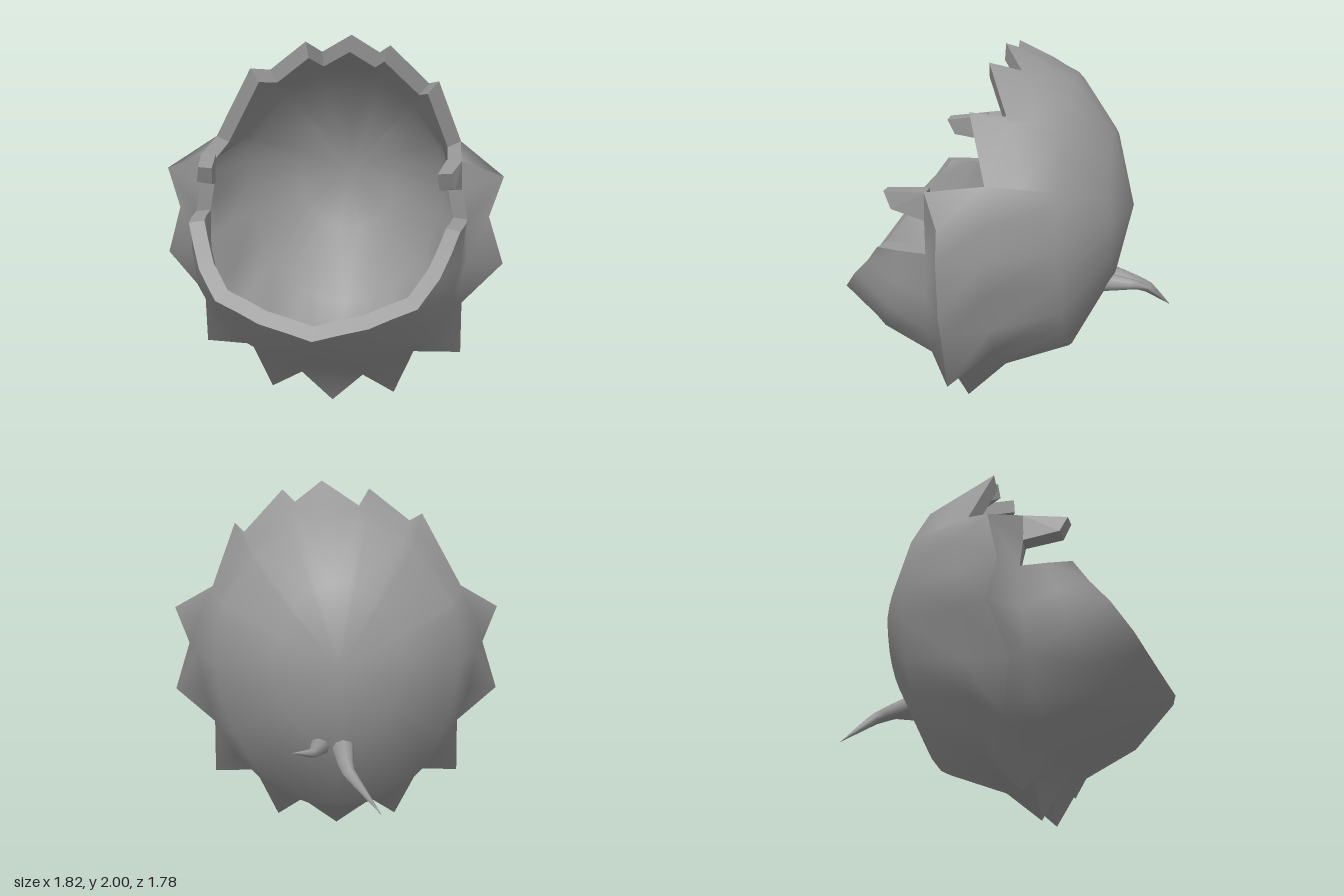
import * as THREE from 'three';
import { toCreasedNormals } from 'three/addons/utils/BufferGeometryUtils.js';
import { ConvexGeometry } from 'three/addons/geometries/ConvexGeometry.js';

const V = (p) => new THREE.Vector3(...p);
const mirror = (p) => [-p[0], p[1], p[2]];
const middle = (a, b) => a.map((v, i) => (v + b[i]) / 2);
const CY = 1.14; // height of the back pole

// Cross-section rings from the back pole forward: z, half width, height above and below
const POLE = [0, CY, -0.68];
const RINGS = [
  [-0.6, 0.32, 0.41, 0.39],
  [-0.385, 0.63, 0.69, 0.82],
  [-0.04, 0.76, 0.86, 0.96],
];
const SEAM = 4; // index of the spiked seam in every column

// Lower rim, bottom centre up to the temple: flared spike point, then the jaw points in front of it
const LOWER = [
  { seam: [0, 0.0, 0.17], jaw: [[0, 0.24, 0.32], [0, 0.38, 0.64], [0, 0.6, 0.89]] },
  { seam: [0.17, 0.16, 0.18], jaw: [[0.16, 0.26, 0.32], [0.14, 0.4, 0.64], [0.13, 0.63, 0.865]] },
  { seam: [0.34, 0.06, 0.16], jaw: [[0.32, 0.3, 0.32], [0.28, 0.43, 0.62], [0.27, 0.66, 0.84]] },
  { seam: [0.45, 0.32, 0.19], jaw: [[0.45, 0.36, 0.31], [0.42, 0.49, 0.6], [0.38, 0.705, 0.81]] },
  { seam: [0.7, 0.32, 0.18], jaw: [[0.57, 0.45, 0.3], [0.55, 0.58, 0.56], [0.5, 0.75, 0.78]] },
  { seam: [0.7, 0.61, 0.21], jaw: [[0.67, 0.62, 0.29], [0.66, 0.74, 0.5], [0.6, 0.88, 0.69]] },
  { seam: [0.91, 0.82, 0.16], jaw: [[0.72, 0.85, 0.28], [0.7, 0.92, 0.45], [0.65, 0.98, 0.6]] },
  { seam: [0.83, 1.08, 0.19], jaw: [[0.72, 1.08, 0.27], [0.71, 1.08, 0.4], [0.69, 1.08, 0.53]], step: 1 },
  { seam: [0.9, 1.29, 0.16], jaw: [[0.69, 1.24, 0.28]] },
  { seam: [0.68, 1.39, 0.28], jaw: [[0.68, 1.39, 0.28]], temple: [0.67, 1.44, -0.02] },
];

// Jagged upper rim, from the model's left temple over to the right
const UPPER = [
  [0.67, 1.44, -0.02], [0.55, 1.77, 0.08], [0.49, 1.74, -0.09], [0.29, 1.95, 0.04],
  [0.22, 1.9, -0.11], [0.08, 2.0, 0], [-0.11, 1.89, -0.22], [-0.17, 1.96, -0.02],
  [-0.38, 1.8, -0.1], [-0.46, 1.82, 0.05], [-0.67, 1.44, -0.02],
];

// Point of an elliptical ring in the direction of a rim point; the upper half leans forward
function ringPoint([z, rx, up, down], p) {
  const a = Math.atan2(p[1] - CY, p[0]);
  const c = Math.cos(a), s = Math.sin(a);
  const r = 1 / Math.hypot(c / rx, s / (s > 0 ? up : down));
  return [r * c, CY + r * s, z + 0.04 * Math.max(s, 0)];
}

const inward = (p) => [p[0] * 0.895, CY + (p[1] - CY) * 0.895, 0.1 + (p[2] - 0.1) * 0.92];

function makeColumn({ seam, jaw = [], step = 0, temple }) {
  const rings = RINGS.map((r) => ringPoint(r, seam));
  if (!jaw.length) rings[2] = middle(rings[1], seam);
  if (temple) rings[2] = temple;
  const outer = [POLE, ...rings, seam, ...jaw];
  return { outer, inner: outer.map(inward), step };
}

function makeGeometry(tris, crease) {
  const g = new THREE.BufferGeometry();
  g.setAttribute('position', new THREE.Float32BufferAttribute(tris.flat(2), 3));
  return toCreasedNormals(g, crease);
}

// Two triangles split along a-c, leaving out collapsed ones
function pushQuad(out, a, b, c, d) {
  for (const t of [[a, b, c], [a, c, d]]) {
    const n = V(t[1]).sub(V(t[0])).cross(V(t[2]).sub(V(t[0])));
    if (n.length() > 1e-7) out.push(t);
  }
}

// Smooth skin over one layer of the columns, between two levels
function skinGeometry(columns, layer, from, to) {
  const tris = [];
  columns.forEach((column, i) => {
    const a = column[layer], b = columns[(i + 1) % columns.length][layer];
    const n = Math.min(a.length - 1, b.length - 1, to);
    for (let k = from; k < n; k++) {
      const q = [a[k], b[k], b[k + 1], a[k + 1]];
      if (i < columns.length / 2) q.push(q.shift()); // mirrored diagonals
      if (layer === 'inner') q.splice(0, 4, q[0], q[3], q[2], q[1]);
      pushQuad(tris, ...q);
    }
  });
  return makeGeometry(tris, Math.PI);
}

// Tapered, bent horn
function hornGeometry(points, radius) {
  const path = new THREE.CatmullRomCurve3(points.map(V), false, 'catmullrom', 0.15);
  const n = 8, sides = 8;
  const g = new THREE.TubeGeometry(path, n, radius, sides);
  const pos = g.attributes.position, v = new THREE.Vector3();
  for (let i = 0; i < pos.count; i++) {
    const t = Math.floor(i / (sides + 1)) / n;
    const c = path.getPointAt(t);
    v.fromBufferAttribute(pos, i).sub(c).multiplyScalar(1 - 0.98 * Math.pow(t, 1.1)).add(c);
    pos.setXYZ(i, v.x, v.y, v.z);
  }
  g.computeVertexNormals();
  return g;
}

export function createModel() {
  const group = new THREE.Group();
  const material = new THREE.MeshStandardMaterial({ color: 0x999999, side: THREE.DoubleSide });
  const add = (name, geometry) => {
    const mesh = new THREE.Mesh(geometry, material);
    mesh.name = name;
    group.add(mesh);
  };

  // Columns run counter-clockwise around the opening, starting at the bottom
  const rightSide = LOWER.slice(1).reverse().map((c) => ({
    seam: mirror(c.seam), jaw: c.jaw.map(mirror), step: -(c.step || 0),
    temple: c.temple && mirror(c.temple),
  }));
  const columns = [...LOWER, ...UPPER.map((seam) => ({ seam })), ...rightSide].map(makeColumn);

  // Domed back and jaw, each with its lining
  add('backShell', skinGeometry(columns, 'outer', 0, SEAM));
  add('backLining', skinGeometry(columns, 'inner', 0, SEAM));
  add('jaw', skinGeometry(columns, 'outer', SEAM, SEAM + 3));
  add('jawLining', skinGeometry(columns, 'inner', SEAM, SEAM + 3));

  // Thick edge around the face opening, stepping back where the jaw ends
  const edge = [];
  for (const c of columns) {
    const levels = c.step ? [SEAM + 3, SEAM + 2, SEAM + 1] : [c.outer.length - 1];
    if (c.step < 0) levels.reverse();
    levels.forEach((k) => edge.push([c.outer[k], c.inner[k]]));
  }
  const rim = [];
  edge.forEach(([o, n], i) => {
    const [o2, n2] = edge[(i + 1) % edge.length];
    pushQuad(rim, o, o2, n2, n);
  });
  add('openingRim', makeGeometry(rim, 0.1));

  // Tabs pointing forward at the temples
  const tab = [
    [0.685, 1.39, 0.27], [0.69, 1.24, 0.27], [0.605, 1.39, 0.27], [0.61, 1.235, 0.27],
    [0.64, 1.365, 0.5], [0.66, 1.28, 0.46], [0.57, 1.36, 0.5], [0.58, 1.27, 0.46],
  ];
  add('leftTempleTab', new ConvexGeometry(tab.map(V)));
  add('rightTempleTab', new ConvexGeometry(tab.map(mirror).map(V)));

  // Small horns low on the back
  add('longBackHorn', hornGeometry([[-0.02, 0.72, -0.52], [-0.04, 0.65, -0.76], [-0.2, 0.47, -0.89]], 0.06));
  add('shortBackHorn', hornGeometry([[0.09, 0.71, -0.53], [0.13, 0.73, -0.73], [0.23, 0.76, -0.82]], 0.055));

  return group;
}
